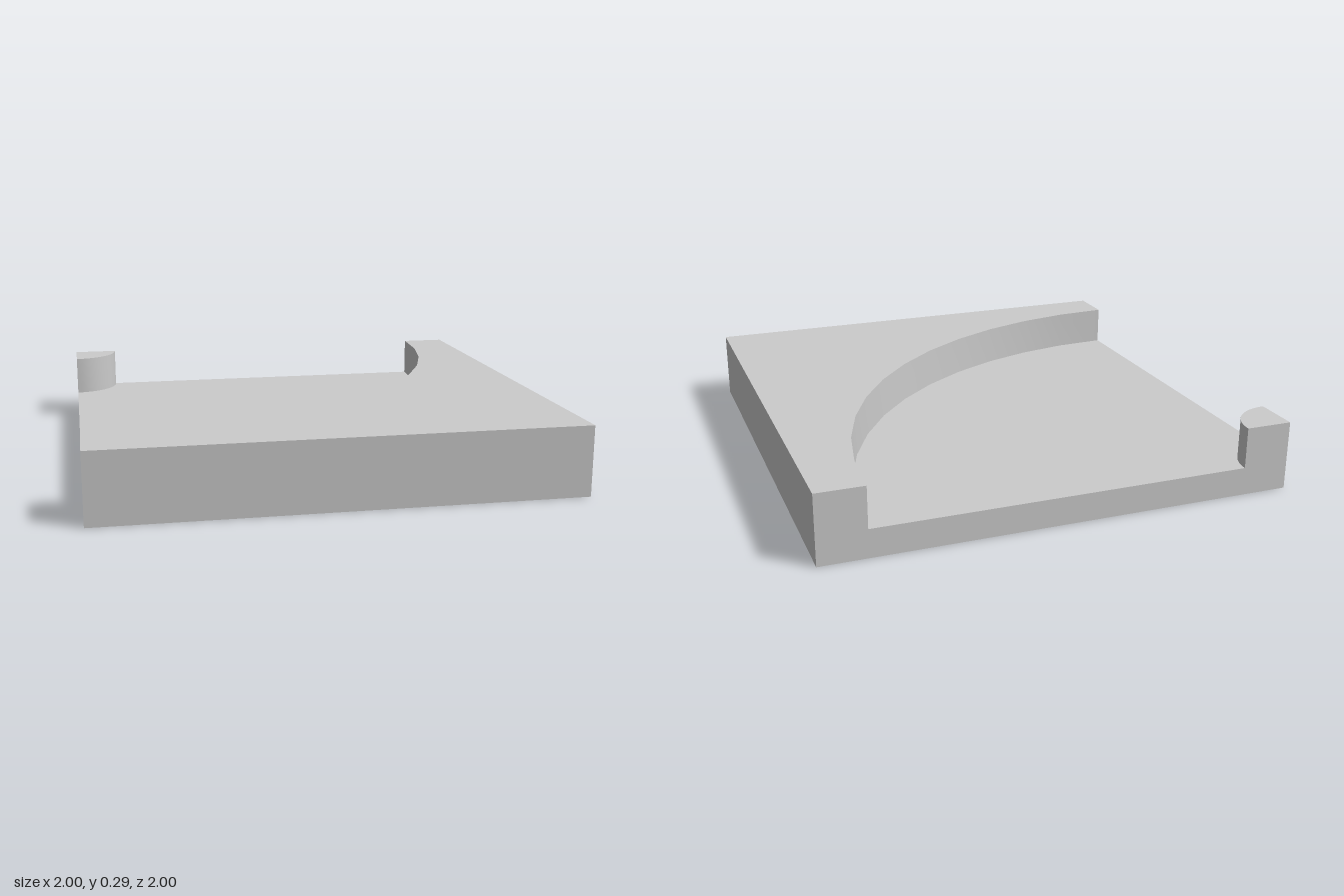
import * as THREE from 'three';
import { toCreasedNormals } from 'three/addons/utils/BufferGeometryUtils.js';

const HEIGHT = 0.295;
const FLOOR = 0.12;
const OUTER_RADIUS = 1.8;
const POST_RADIUS = 0.2;

export function createModel() {
  const group = new THREE.Group();
  group.name = 'curvedCornerTile';
  const material = new THREE.MeshStandardMaterial({ color: 0xcccccc });

  const add = (name, geometry) => {
    const mesh = new THREE.Mesh(geometry, material);
    mesh.name = name;
    group.add(mesh);
  };

  // Raises a plan outline (shape y points to the back) from the floor to the rim
  const raise = (shape) => {
    const geometry = new THREE.ExtrudeGeometry(shape, {
      depth: HEIGHT - FLOOR, bevelEnabled: false, curveSegments: 6,
    });
    geometry.rotateX(-Math.PI / 2).translate(0, FLOOR, 0);
    return toCreasedNormals(geometry, 0.5);
  };

  // Square floor slab
  add('floor', new THREE.BoxGeometry(2, FLOOR, 2).translate(0, FLOOR / 2, 0));

  // Raised outer corner, cut by a quarter circle about the back right corner
  const border = new THREE.Shape();
  border.moveTo(-1, 1 - OUTER_RADIUS);
  border.absarc(-1, 1, OUTER_RADIUS, -Math.PI / 2, 0, false);
  border.lineTo(1, 1);
  border.lineTo(1, -1);
  border.lineTo(-1, -1);
  border.closePath();
  add('outerCorner', raise(border));

  // Quarter-round post in the inner corner
  const post = new THREE.Shape();
  post.moveTo(-1, 1);
  post.lineTo(-1, 1 - POST_RADIUS);
  post.absarc(-1, 1, POST_RADIUS, -Math.PI / 2, 0, false);
  post.closePath();
  add('innerPost', raise(post));

  return group;
}
